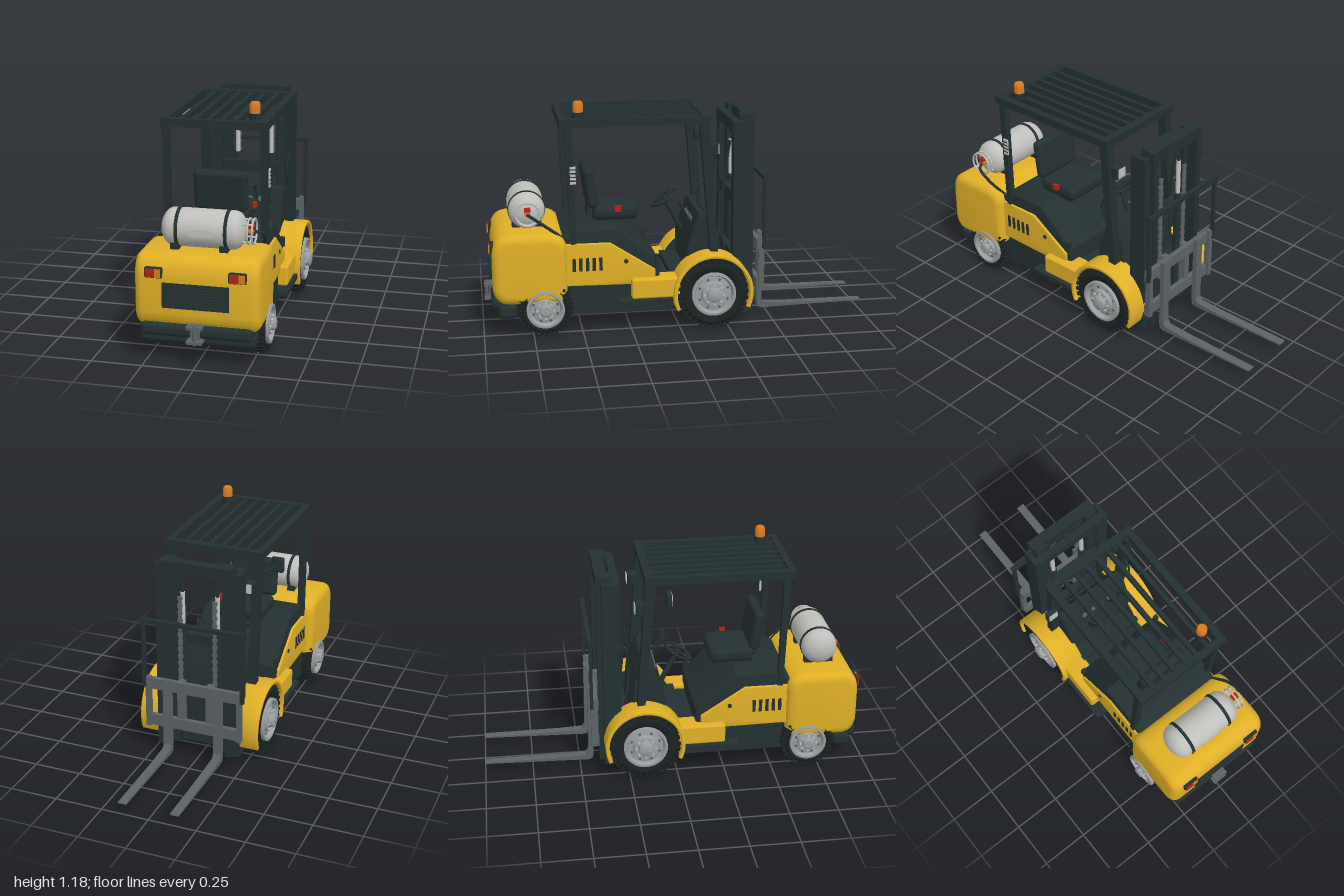
import * as THREE from 'three';
import { mergeGeometries, toCreasedNormals } from 'three/addons/utils/BufferGeometryUtils.js';
import { RoundedBoxGeometry } from 'three/addons/geometries/RoundedBoxGeometry.js';

const material = (name, color) => {
  const m = new THREE.MeshStandardMaterial({ color });
  m.name = name;
  return m;
};
const yellow = material('yellow paint', 0xdfb027);
const dark = material('dark frame', 0x243031);
const rubber = material('tyre rubber', 0x1b2122);
const steel = material('fork steel', 0x5c6267);
const silver = material('light silver', 0xbfbfbb);
const rimGrey = material('rim grey', 0x9a9d9f);
const red = material('red', 0xb02417);
const orange = material('orange', 0xd97a20);
const V = (x, y, z) => new THREE.Vector3(x, y, z);

export function createModel() {
  const root = new THREE.Group();
  root.name = 'forklift';
  const add = (name, geo, mat, parent = root) => {
    const m = new THREE.Mesh(geo, mat);
    m.name = name;
    parent.add(m);
    return m;
  };
  // Box given by its limits on each axis; r rounds the edges
  const box = (name, mat, x0, x1, y0, y1, z0, z1, r = 0) => {
    const s = [x1 - x0, y1 - y0, z1 - z0];
    const m = add(name, r ? new RoundedBoxGeometry(...s, 3, r) : new THREE.BoxGeometry(...s), mat);
    m.position.set((x0 + x1) / 2, (y0 + y1) / 2, (z0 + z1) / 2);
    return m;
  };
  // Same box on both sides
  const pair = (name, mat, x0, x1, ...rest) => {
    box(name + 'Left', mat, x0, x1, ...rest);
    box(name + 'Right', mat, -x1, -x0, ...rest);
  };
  // Side profile in (z, y), extruded across x
  const slab = (name, mat, profile, x0, x1, bevel = 0) => {
    const shape = profile instanceof THREE.Shape ? profile
      : new THREE.Shape(profile.map(p => new THREE.Vector2(p[0], p[1])));
    const geo = new THREE.ExtrudeGeometry(shape, {
      depth: x1 - x0 - 2 * bevel, bevelEnabled: bevel > 0, bevelSize: bevel,
      bevelThickness: bevel, bevelOffset: -bevel, bevelSegments: 5, curveSegments: 20,
    });
    geo.translate(0, 0, bevel).rotateY(-Math.PI / 2).translate(x1, 0, 0);
    return add(name, toCreasedNormals(geo, 0.6), mat);
  };
  const slabPair = (name, mat, profile, x0, x1, bevel) => {
    slab(name + 'Left', mat, profile, x0, x1, bevel);
    slab(name + 'Right', mat, profile, -x1, -x0, bevel);
  };
  const rod = (name, mat, a, b, r) => {
    const m = add(name, new THREE.CylinderGeometry(r, r, a.distanceTo(b), 16), mat);
    m.position.copy(a).add(b).multiplyScalar(0.5);
    m.quaternion.setFromUnitVectors(V(0, 1, 0), b.clone().sub(a).normalize());
    return m;
  };
  const tube = (name, mat, pts, r) =>
    add(name, new THREE.TubeGeometry(new THREE.CatmullRomCurve3(pts), 32, r, 8), mat);
  const lathe = (pts, n = 40) =>
    toCreasedNormals(new THREE.LatheGeometry(pts.map(p => new THREE.Vector2(p[0], p[1])), n).toNonIndexed(), 0.6);

  // Wheels: axis is local y, outer face towards +y
  const wheel = (name, side, x, y, z, R, rim, w, hub) => {
    const g = new THREE.Group();
    g.name = name;
    const h = w / 2, t = R - 0.008;
    add('tyre', lathe([[0, -h * 0.8], [rim, -h * 0.9], [rim + 0.02, -h], [t - 0.02, -h], [t, -h * 0.7],
      [t, h * 0.7], [t - 0.02, h], [rim + 0.02, h], [rim, h * 0.8]], 48), rubber, g);
    const lugs = [];
    for (let i = 0; i < 32; i++) for (const s of [-1, 1]) {
      lugs.push(new THREE.BoxGeometry(0.022, h * 0.9, R * 0.1).rotateX(s * 0.25)
        .translate(R - 0.011, s * h * 0.48, 0).rotateY((i + s * 0.25) * Math.PI / 16));
    }
    add('treadLugs', mergeGeometries(lugs), rubber, g);
    add('rim', lathe([[rim + 0.004, h * 0.75], [rim + 0.004, h + 0.01], [rim - 0.008, h + 0.012], [rim - 0.018, h - 0.012],
      [rim * 0.6, h - 0.008], [rim * 0.55, h + 0.008], [rim * 0.36, h + 0.01], [rim * 0.34, hub], [rim * 0.25, hub + 0.006], [0, hub + 0.006]]), rimGrey, g);
    const bolts = [], holes = [];
    for (let i = 0; i < 8; i++) {
      const a = i * Math.PI / 4;
      bolts.push(new THREE.CylinderGeometry(0.005, 0.005, 0.014, 6).translate(rim * 0.46, h + 0.013, 0).rotateY(a));
      holes.push(new THREE.CylinderGeometry(0.007, 0.007, 0.006, 12).translate(rim * 0.71, h - 0.009, 0).rotateY(a + 0.39));
    }
    add('wheelBolts', mergeGeometries(bolts), silver, g);
    add('rimHoles', mergeGeometries(holes), steel, g);
    g.position.set(side * x, y, z);
    g.rotation.z = -side * Math.PI / 2;
    root.add(g);
  };
  for (const s of [1, -1]) {
    const n = s > 0 ? 'Left' : 'Right';
    wheel('driveWheel' + n, s, 0.258, 0.183, -0.17, 0.183, 0.11, 0.115, 0.088);
    wheel('steerWheel' + n, s, 0.24, 0.14, 0.69, 0.14, 0.092, 0.12, 0.085);
  }
  rod('driveAxle', dark, V(-0.22, 0.183, -0.17), V(0.22, 0.183, -0.17), 0.05);
  rod('steerAxle', dark, V(-0.2, 0.14, 0.69), V(0.2, 0.14, 0.69), 0.04);

  // Chassis and counterweight
  box('chassis', dark, -0.25, 0.25, 0.09, 0.25, 0.03, 0.56);
  box('frontChassis', dark, -0.19, 0.19, 0.09, 0.28, -0.29, 0.04);
  box('rearChassis', dark, -0.175, 0.175, 0.09, 0.22, 0.55, 0.9);
  const cw = new THREE.Shape();
  cw.moveTo(0.575, 0.165);
  cw.lineTo(0.87, 0.165);
  cw.quadraticCurveTo(0.94, 0.17, 0.95, 0.25);
  cw.lineTo(0.95, 0.42);
  cw.quadraticCurveTo(0.945, 0.53, 0.85, 0.53);
  cw.lineTo(0.67, 0.53);
  cw.quadraticCurveTo(0.575, 0.52, 0.575, 0.44);
  slab('counterweight', yellow, cw, -0.3, 0.3, 0.045);
  box('bumper', dark, -0.28, 0.28, 0.09, 0.165, 0.83, 0.925, 0.025);
  box('bumperTop', dark, -0.27, 0.27, 0.135, 0.2, 0.85, 0.957, 0.025);
  for (const y of [0.128, 0.2]) box('towHitchPlate', steel, -0.038, 0.038, y - 0.007, y + 0.007, 0.93, 0.99);
  box('towHitchBack', steel, -0.022, 0.022, 0.12, 0.21, 0.945, 0.965);
  rod('towPin', steel, V(0, 0.115, 0.978), V(0, 0.215, 0.978), 0.009);
  box('grillePanel', dark, -0.16, 0.16, 0.28, 0.403, 0.93, 0.955);
  for (let i = 0; i < 8; i++)
    box('grilleSlat', dark, -0.145, 0.145, 0.29 + i * 0.0135, 0.297 + i * 0.0135, 0.95, 0.963);
  for (const x of [-0.2, 0.2]) {
    box('tailLampHousing', dark, x - 0.043, x + 0.043, 0.422, 0.474, 0.9, 0.958, 0.008);
    box('tailLampRed', red, x - 0.037, x + 0.006, 0.428, 0.468, 0.94, 0.965);
    box('tailLampOrange', orange, x + 0.008, x + 0.036, 0.428, 0.468, 0.94, 0.965);
  }

  // Hood and yellow side panels with vents
  slab('hood', dark, [[0.6, 0.24], [0.6, 0.49], [0.52, 0.538], [0.31, 0.538], [0.1, 0.345], [0.1, 0.24]], -0.25, 0.25, 0.015);
  slabPair('sidePanel', yellow, [[0.6, 0.245], [0.6, 0.465], [0.355, 0.465], [0.125, 0.315], [0.125, 0.275], [0.25, 0.24]], 0.235, 0.262, 0.006);
  for (let i = 0; i < 5; i++) pair('sideVent', dark, 0.258, 0.265, 0.322, 0.39, 0.395 + i * 0.034, 0.412 + i * 0.034);
  rod('panelLatches', dark, V(-0.266, 0.365, 0.275), V(0.266, 0.365, 0.275), 0.011);
  pair('hoodHandle', dark, 0.235, 0.258, 0.34, 0.39, 0.105, 0.125);

  // Steps and fenders
  pair('stepBox', yellow, 0.18, 0.3, 0.17, 0.275, 0.0, 0.25, 0.012);
  pair('stepTread', dark, 0.23, 0.315, 0.145, 0.168, 0.04, 0.32);
  const arch = new THREE.Shape();
  arch.absarc(-0.17, 0.185, 0.207, -0.42, Math.PI + 0.42, false);
  arch.absarc(-0.17, 0.185, 0.188, Math.PI + 0.42, -0.42, true);
  slabPair('fender', yellow, arch, 0.185, 0.325, 0.005);
  const wall = new THREE.Shape();
  wall.absarc(-0.17, 0.185, 0.2, -0.2, Math.PI + 0.2, false);
  slabPair('fenderInnerWall', dark, wall, 0.175, 0.19);

  // Dashboard, steering and levers
  slab('dashboard', dark, [[-0.24, 0.25], [-0.21, 0.5], [-0.165, 0.585], [-0.11, 0.585], [-0.05, 0.4], [-0.05, 0.25]], -0.2, 0.2, 0.01);
  for (let i = 0; i < 4; i++) rod('gauge', steel, V(-0.08 + i * 0.055, 0.525, -0.105), V(-0.08 + i * 0.055, 0.53, -0.085), 0.014);
  rod('steeringColumn', dark, V(-0.07, 0.44, -0.06), V(-0.07, 0.6, 0.025), 0.014);
  const sw = add('steeringWheel', new THREE.TorusGeometry(0.075, 0.008, 10, 36), dark);
  sw.position.set(-0.07, 0.605, 0.03);
  sw.rotation.x = -Math.PI / 2 + 0.53;
  for (const a of [0, 2.1, 4.2]) {
    const d = V(Math.cos(a), Math.sin(a), 0).multiplyScalar(0.075).applyEuler(sw.rotation);
    rod('steeringSpoke', dark, sw.position, sw.position.clone().add(d), 0.006);
  }
  for (let i = 0; i < 3; i++) {
    const x = 0.07 + i * 0.035;
    rod('hydraulicLever', dark, V(x, 0.5, -0.09), V(x, 0.61, -0.03), 0.004);
    rod('leverKnob', dark, V(x, 0.6, -0.036), V(x, 0.625, -0.022), 0.009);
  }

  // Seat
  box('seatBase', dark, -0.11, 0.11, 0.53, 0.56, 0.22, 0.42);
  box('seatCushion', dark, -0.13, 0.13, 0.545, 0.62, 0.19, 0.425, 0.03);
  box('seatBack', dark, -0.135, 0.135, 0.61, 0.82, 0.41, 0.465, 0.025).rotation.x = 0.14;
  box('seatBracket', dark, -0.05, 0.05, 0.55, 0.66, 0.415, 0.45);
  box('beltBuckle', red, 0.13, 0.15, 0.595, 0.625, 0.285, 0.315);

  // Overhead guard
  slabPair('rearPillar', dark, [[0.525, 0.44], [0.552, 0.44], [0.575, 1.07], [0.54, 1.07]], 0.225, 0.26);
  slabPair('frontPillar', dark, [[-0.205, 0.36], [-0.165, 0.36], [-0.105, 1.07], [-0.155, 1.07]], 0.205, 0.25);
  pair('roofSideRail', dark, 0.225, 0.262, 1.06, 1.1, -0.16, 0.6);
  box('roofRearRail', dark, -0.262, 0.262, 1.06, 1.1, 0.565, 0.6);
  box('roofFrontRail', dark, -0.262, 0.262, 1.06, 1.1, -0.16, -0.12);
  for (let i = 0; i < 6; i++) {
    const x = -0.165 + i * 0.066;
    box('roofBar', dark, x - 0.011, x + 0.011, 1.065, 1.095, -0.13, 0.58);
  }
  box('pillarLabel', silver, 0.258, 0.266, 0.775, 0.865, 0.523, 0.552);
  for (let i = 0; i < 4; i++) box('labelStripe', dark, 0.264, 0.267, 0.79 + i * 0.019, 0.796 + i * 0.019, 0.523, 0.552);
  tube('grabHandle', dark, [V(0.225, 0.77, -0.15), V(0.225, 0.74, -0.11), V(0.225, 0.66, -0.1), V(0.225, 0.61, -0.13), V(0.225, 0.59, -0.17)], 0.006);

  // Beacon, mirror and work lamps
  rod('beaconBase', dark, V(0.183, 1.095, 0.5), V(0.183, 1.125, 0.5), 0.031);
  const beacon = add('beacon', lathe([[0.026, 0], [0.026, 0.045], [0.02, 0.055], [0, 0.056]], 24), orange);
  beacon.position.set(0.183, 1.124, 0.5);
  box('mirrorHousing', dark, -0.338, -0.273, 0.967, 1.045, -0.065, -0.036, 0.009);
  box('mirrorGlass', silver, -0.33, -0.281, 0.976, 1.036, -0.038, -0.033);
  tube('mirrorArm', dark, [V(-0.3, 1.0, -0.06), V(-0.27, 0.985, -0.09), V(-0.235, 0.98, -0.13)], 0.006);
  pair('workLamp', dark, 0.165, 0.232, 0.888, 0.952, -0.205, -0.15, 0.008);
  pair('workLampLens', silver, 0.173, 0.224, 0.896, 0.944, -0.21, -0.203);

  // Gas tank
  const dome = [];
  for (let i = 0; i <= 8; i++) dome.push([0.092 * Math.sin(i * Math.PI / 16), 0.06 * Math.cos(i * Math.PI / 16)]);
  const tank = add('gasTank', lathe([...dome.map(([r, a]) => [r, -0.145 - a]), ...dome.reverse().map(([r, a]) => [r, 0.145 + a])]), silver);
  tank.rotation.z = -Math.PI / 2;
  tank.position.set(0, 0.622, 0.765);
  for (const x of [-0.118, 0.118]) {
    const strap = add('tankStrap', new THREE.CylinderGeometry(0.096, 0.096, 0.016, 40), dark);
    strap.rotation.z = Math.PI / 2;
    strap.position.set(x, 0.622, 0.765);
    box('tankSaddle', dark, x - 0.03, x + 0.01, 0.52, 0.56, 0.69, 0.84);
  }
  box('tankPlate', silver, -0.053, 0.053, 0.603, 0.64, 0.852, 0.859);
  for (const x of [0.215, 0.238]) {
    const ring = add('valveGuardRing', new THREE.TorusGeometry(0.06, 0.005, 8, 32), silver);
    ring.rotation.y = Math.PI / 2;
    ring.position.set(x, 0.622, 0.765);
  }
  for (let i = 0; i < 4; i++) {
    const a = Math.PI / 4 + i * Math.PI / 2, y = 0.622 + 0.06 * Math.sin(a), z = 0.765 + 0.06 * Math.cos(a);
    rod('valveGuardPost', silver, V(0.17, y, z), V(0.24, y, z), 0.005);
  }
  rod('valve', orange, V(0.19, 0.622, 0.765), V(0.235, 0.622, 0.765), 0.015);
  box('valveKnob', red, 0.21, 0.24, 0.635, 0.652, 0.75, 0.78);
  tube('gasHose', dark, [V(0.235, 0.62, 0.765), V(0.27, 0.61, 0.74), V(0.27, 0.56, 0.67), V(0.24, 0.5, 0.6), V(0.22, 0.47, 0.58)], 0.008);

  // Mast
  pair('outerMastWeb', dark, 0.2, 0.225, 0.045, 1.06, -0.375, -0.285);
  pair('outerMastFlangeBack', dark, 0.165, 0.21, 0.045, 1.06, -0.305, -0.285);
  pair('outerMastFlangeFront', dark, 0.175, 0.21, 0.045, 1.06, -0.375, -0.355);
  pair('innerMastWeb', dark, 0.155, 0.185, 0.05, 1.09, -0.4, -0.32);
  pair('innerMastFlange', dark, 0.12, 0.16, 0.05, 1.09, -0.345, -0.32);
  box('mastTopBeam', dark, -0.19, 0.19, 1.03, 1.09, -0.4, -0.345);
  box('mastRearBeam', dark, -0.21, 0.21, 1.0, 1.06, -0.32, -0.28);
  for (const y of [0.06, 0.3, 0.62]) box('mastCrossBeam', dark, -0.2, 0.2, y, y + 0.06, -0.325, -0.29);
  for (const x of [-0.093, 0.093]) {
    rod('liftCylinder', dark, V(x, 0.08, -0.335), V(x, 0.72, -0.335), 0.02);
    rod('liftRod', silver, V(x, 0.72, -0.335), V(x, 0.91, -0.335), 0.012);
    rod('liftRodHead', dark, V(x, 0.89, -0.335), V(x, 0.95, -0.335), 0.008);
    for (let i = 0; i < 30; i++) box('chainLink', steel, x - 0.008 - (i % 2) * 0.004, x + 0.008 + (i % 2) * 0.004, 0.3 + i * 0.02, 0.318 + i * 0.02, -0.377, -0.366);
    tube('mastHose', dark, [V(x * 1.6, 0.95, -0.28), V(x * 1.6, 0.85, -0.265), V(x * 1.6, 0.6, -0.24), V(x * 1.6, 0.4, -0.25), V(x * 1.6, 0.28, -0.28)], 0.007);
  }

  // Carriage, load backrest and forks
  box('carriageLowerBar', steel, -0.255, 0.255, 0.175, 0.235, -0.43, -0.405);
  box('carriageUpperBar', steel, -0.255, 0.255, 0.385, 0.445, -0.43, -0.405);
  pair('carriageUpright', steel, 0.06, 0.095, 0.175, 0.445, -0.42, -0.38);
  pair('carriageEndPlate', steel, 0.235, 0.26, 0.175, 0.455, -0.445, -0.415);
  pair('backrestPost', dark, 0.255, 0.275, 0.4, 0.79, -0.448, -0.432);
  box('backrestTop', dark, -0.278, 0.278, 0.765, 0.785, -0.455, -0.43);
  slabPair('fork', steel, [[-0.43, 0.46], [-0.43, 0.075], [-0.437, 0.05], [-0.455, 0.042], [-0.6, 0.046],
    [-1, 0.056], [-1, 0.062], [-0.6, 0.064], [-0.47, 0.07], [-0.456, 0.09], [-0.453, 0.46]].reverse(), 0.115, 0.16);
  return root;
}
